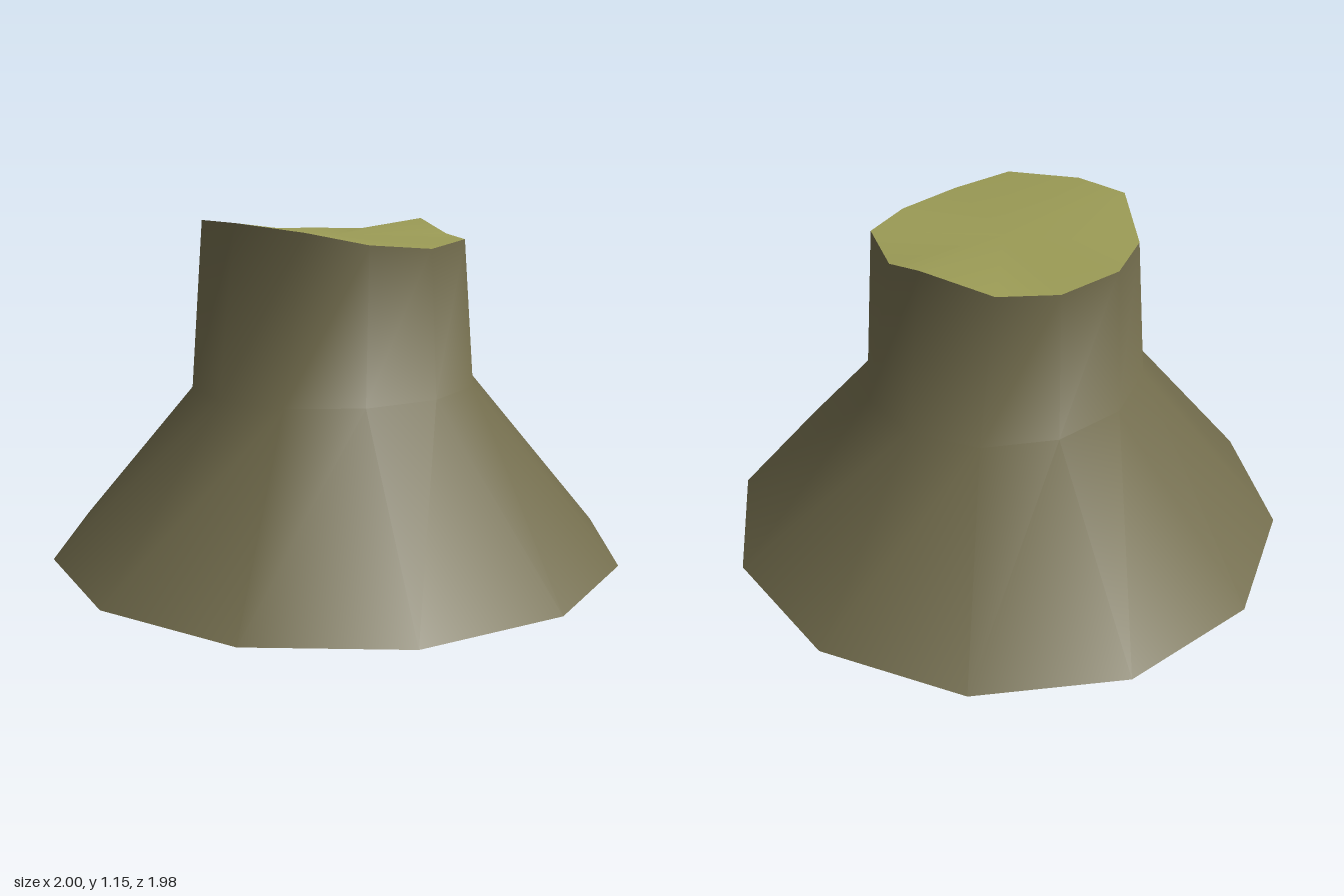
import * as THREE from 'three';

const SIDES = 12;

// Oval ring of points, starting at the front and turning towards +x
function ovalRing(rx, rz, y) {
  return Array.from({ length: SIDES }, (_, i) => {
    const a = (i / SIDES) * Math.PI * 2;
    return [rx * Math.sin(a), y, rz * Math.cos(a)];
  });
}

// Uneven cut edge at the top, in the same order
const rim = [
  [0, 1.15, 0.44], [0.265, 1.13, 0.38], [0.385, 1.09, 0.22],
  [0.445, 1.07, 0], [0.385, 1.085, -0.23], [0.17, 1.085, -0.38],
  [0, 1.13, -0.43], [-0.235, 1.085, -0.36], [-0.385, 1.085, -0.23],
  [-0.445, 1.09, 0], [-0.385, 1.09, 0.22], [-0.2, 1.15, 0.42],
];

function makeGeometry(points, index) {
  const geometry = new THREE.BufferGeometry();
  geometry.setAttribute('position', new THREE.Float32BufferAttribute(points.flat(), 3));
  geometry.setIndex(index);
  geometry.computeVertexNormals();
  return geometry;
}

export function createModel() {
  const bark = new THREE.MeshStandardMaterial({ color: 0x736d4d, side: THREE.DoubleSide });
  bark.name = 'bark';
  const cutWood = new THREE.MeshStandardMaterial({ color: 0x9c9c56, side: THREE.DoubleSide });
  cutWood.name = 'cut wood';

  // Bark wall: flared foot, waist and rim, open underneath
  const rings = [ovalRing(1, 0.99, 0), ovalRing(0.475, 0.515, 0.585), rim];
  const wallIndex = [];
  for (let r = 0; r < rings.length - 1; r++) {
    for (let i = 0; i < SIDES; i++) {
      const j = (i + 1) % SIDES;
      const a = r * SIDES + i, b = r * SIDES + j;
      wallIndex.push(a, b, b + SIDES, a, b + SIDES, a + SIDES);
    }
  }
  const trunk = new THREE.Mesh(makeGeometry(rings.flat(), wallIndex), bark);
  trunk.name = 'trunk';

  // Cut face: fan from a slightly sunken centre
  const capIndex = [];
  for (let i = 0; i < SIDES; i++) capIndex.push(SIDES, i, (i + 1) % SIDES);
  const cutFace = new THREE.Mesh(makeGeometry([...rim, [0, 1.09, 0]], capIndex), cutWood);
  cutFace.name = 'cutFace';

  const stump = new THREE.Group();
  stump.name = 'treeStump';
  stump.add(trunk, cutFace);
  return stump;
}
